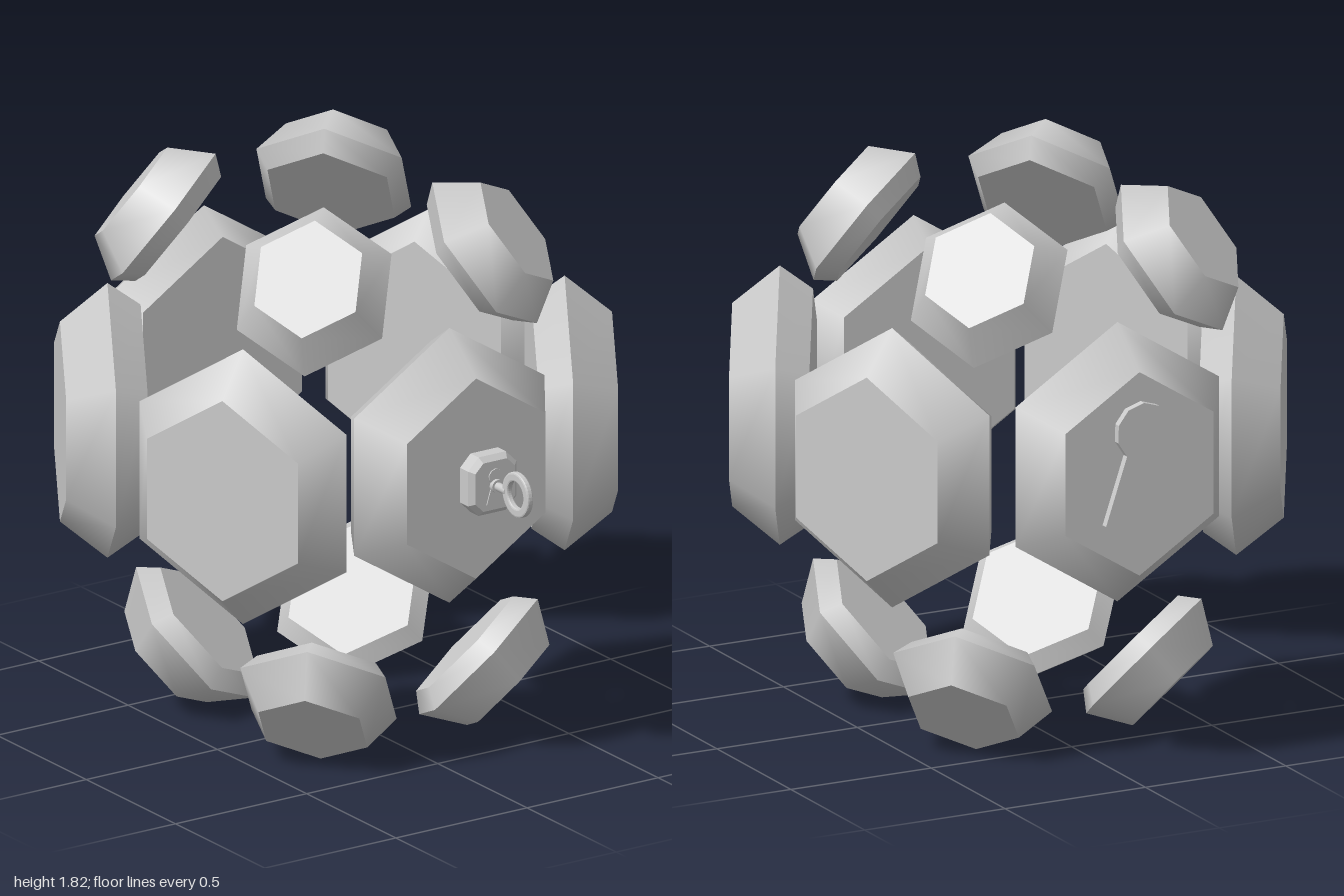
import * as THREE from 'three';
import { mergeGeometries } from 'three/addons/utils/BufferGeometryUtils.js';

const grey = new THREE.MeshStandardMaterial({ color: 0xcccccc });

// Six-sided cushion: each band is smooth around, with sharp edges between bands.
// Local +z points outwards; the widest ring lies at z = 0.
function hexGeometry(profile, squeeze) {
  const bands = [];
  for (let i = 0; i < profile.length - 1; i++) {
    const pts = [profile[i], profile[i + 1]].map(([r, z]) => new THREE.Vector2(r, z));
    bands.push(new THREE.LatheGeometry(pts, 6));
  }
  return mergeGeometries(bands).rotateX(Math.PI / 2).scale(squeeze, 1, 1);
}

// Keyhole outline: round faceted head above a flaring skirt
function keyholeShape(radius, headY, neck, foot, footY) {
  const s = new THREE.Shape();
  const a = Math.acos(neck / radius);
  s.moveTo(-foot, footY);
  s.lineTo(foot, footY);
  s.lineTo(neck, headY - Math.sin(a) * radius);
  for (let i = 1; i <= 8; i++) {
    const t = -a + ((Math.PI + 2 * a) * i) / 8;
    s.lineTo(Math.cos(t) * radius, headY + Math.sin(t) * radius);
  }
  s.closePath();
  return s;
}

// Rectangle with cut corners
function cutRectangle(w, h, c) {
  return new THREE.Shape([
    [-w + c, -h], [w - c, -h], [w, -h + c], [w, h - c],
    [w - c, h], [-w + c, h], [-w, h - c], [-w, -h + c],
  ].map(([x, y]) => new THREE.Vector2(x, y)));
}

export function createModel() {
  const model = new THREE.Group();

  function add(name, geometry, x = 0, y = 0, z = 0, parent = model) {
    const mesh = new THREE.Mesh(geometry, grey);
    mesh.name = name;
    mesh.position.set(x, y, z);
    parent.add(mesh);
    return mesh;
  }

  function addHex(name, geometry, pos, normal) {
    const mesh = add(name, geometry, ...pos);
    mesh.lookAt(pos[0] + normal[0], pos[1] + normal[1], pos[2] + normal[2]);
  }

  const large = hexGeometry([[0, -0.105], [0.385, -0.105], [0.46, 0], [0.335, 0.15], [0, 0.15]], 0.91);
  const small = hexGeometry([[0, -0.06], [0.23, -0.06], [0.28, 0], [0.195, 0.13], [0, 0.13]], 0.96);

  // Ring of six large panels
  addHex('frontPanel', large, [0.01, 1.015, 0.55], [0, 0, 1]);
  addHex('backPanel', large, [0, 1.025, -0.81], [0, 0, -1]);
  for (const sx of [1, -1]) {
    const side = sx > 0 ? 'left' : 'right';
    addHex(side + 'FrontPanel', large, [sx * 0.613, 0.998, 0.31], [sx * 0.866, 0, 0.5]);
    addHex(side + 'BackPanel', large, [sx * 0.613, 0.995, -0.45], [sx * 0.866, 0, -0.5]);

    // Four small panels above and four below
    for (const sz of [1, -1]) {
      const end = sz > 0 ? 'Front' : 'Back';
      addHex(side + end + 'UpperPanel', small,
        [sx * 0.325, 1.585, sz > 0 ? 0.285 : -0.56], [sx * 0.56, 0.6, sz * 0.57]);
      addHex(side + end + 'LowerPanel', small,
        [sx * 0.305, 0.235, sz > 0 ? 0.28 : -0.41], [sx * 0.52, -0.68, sz * 0.52]);
    }
  }

  // Lock on the front panel
  const lock = new THREE.Group();
  lock.name = 'lock';
  lock.position.set(0.015, 1.022, 0);
  model.add(lock);
  const extrude = (shape, depth) => new THREE.ExtrudeGeometry(shape, { depth, bevelEnabled: false, curveSegments: 10 });
  add('lockBase', extrude(cutRectangle(0.055, 0.055, 0.015), 0.03), 0, 0, 0.695, lock);
  add('lockBody', new THREE.ExtrudeGeometry(cutRectangle(0.075, 0.081, 0.03), {
    depth: 0.045, bevelThickness: 0.017, bevelSize: 0.017, bevelSegments: 1,
  }), 0, 0, 0.738, lock);
  add('keyholeFront', extrude(keyholeShape(0.026, 0.03, 0.013, 0.034, -0.06), 0.004), 0, 0, 0.8, lock);

  // Key: shaft, collar and flat ring standing in the vertical plane
  const shaft = new THREE.CylinderGeometry(0.014, 0.014, 0.08, 12).rotateX(Math.PI / 2);
  add('keyShaft', shaft, 0, 0, 0.828, lock);
  const collar = new THREE.CylinderGeometry(0.022, 0.022, 0.015, 12).rotateX(Math.PI / 2);
  add('keyCollar', collar, 0, 0, 0.808, lock);
  const ring = new THREE.Shape().absarc(0, 0, 0.068, 0, Math.PI * 2);
  ring.holes.push(new THREE.Path().absarc(0, 0, 0.05, 0, Math.PI * 2, true));
  const ringGeometry = new THREE.ExtrudeGeometry(ring, {
    depth: 0.012, bevelThickness: 0.005, bevelSize: 0.006, bevelSegments: 2, curveSegments: 20,
  }).translate(0, 0, -0.006).rotateY(Math.PI / 2);
  add('keyRing', ringGeometry, 0, 0.005, 0.926, lock);

  // Keyhole plate just off the back panel
  add('keyholePlate', extrude(keyholeShape(0.095, 0.1, 0.06, 0.135, -0.195), 0.024), 0.005, 1.075, -1);

  return model;
}
